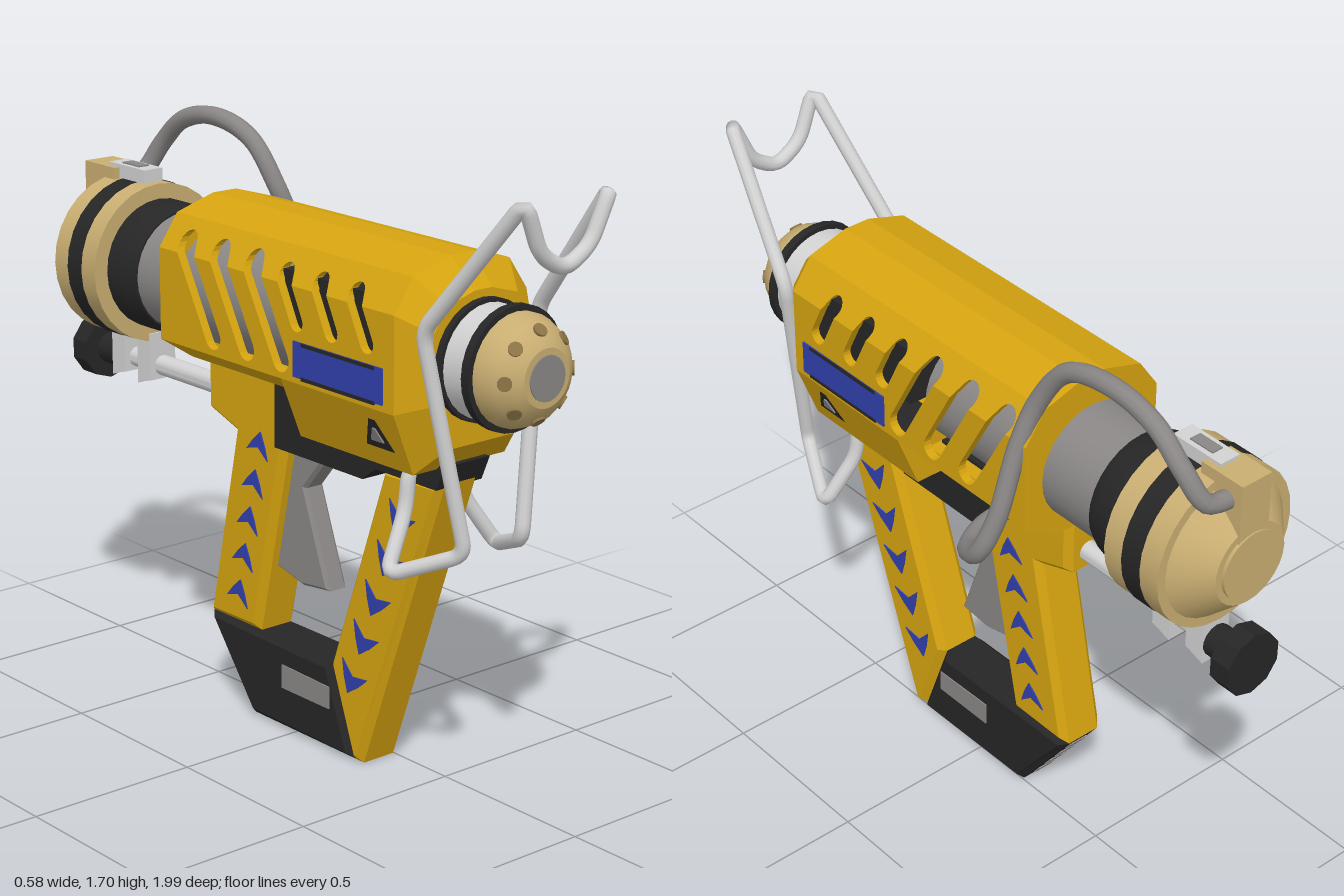
import * as THREE from 'three';
import { toCreasedNormals } from 'three/addons/utils/BufferGeometryUtils.js';

const V = (x, y, z) => new THREE.Vector3(x, y, z);
const AXIS_Y = 1.225;

export function createModel() {
  const mat = (name, color, side = THREE.FrontSide) =>
    Object.assign(new THREE.MeshStandardMaterial({ color, side }), { name });
  const yellow = mat('yellow paint', 0xd6a410, THREE.DoubleSide);
  const black = mat('black rubber', 0x262626);
  const tan = mat('tan metal', 0xc9ae72);
  const darkTan = mat('dark tan', 0x8c7546);
  const grey = mat('grey metal', 0x8a8786);
  const light = mat('light metal', 0xd2d2d2);
  const blue = mat('blue paint', 0x3140ae);

  const model = new THREE.Group();
  const gun = new THREE.Group();
  gun.name = 'tool';
  gun.position.x = -0.057;
  model.add(gun);

  const add = (name, geo, material, x = 0, y = 0, z = 0) => {
    const m = new THREE.Mesh(geo, material);
    m.name = name;
    m.position.set(x, y, z);
    gun.add(m);
    return m;
  };
  const shapeOf = pts => new THREE.Shape(pts.map(p => new THREE.Vector2(p[0], p[1])));

  // Side outline [z, y] extruded across x
  const slabGeo = (pts, w, bevel = 0) => {
    const g = new THREE.ExtrudeGeometry(shapeOf(pts), {
      depth: w - 2 * bevel, bevelEnabled: bevel > 0, bevelSize: bevel,
      bevelThickness: bevel, bevelOffset: -bevel, bevelSegments: 1,
    });
    return g.translate(0, 0, -w / 2 + bevel).rotateY(-Math.PI / 2);
  };
  const slab = (name, pts, w, material, bevel) => add(name, slabGeo(pts, w, bevel), material);
  // Thin painted plate on both sides
  const decal = (name, pts, half, material, t = 0.008) => {
    for (const s of [-1, 1]) add(name, slabGeo(pts, t), material, s * half);
  };
  // Profile [radius, z] turned around the barrel axis
  const turn = (name, pts, material, y = AXIS_Y, seg = 28) => {
    const g = new THREE.LatheGeometry(pts.map(p => new THREE.Vector2(p[0], p[1])), seg).rotateX(Math.PI / 2);
    return add(name, toCreasedNormals(g, 0.5), material, 0, y, 0);
  };
  const drum = (name, r, z0, z1, material, y, seg) =>
    turn(name, [[0, z0], [r, z0], [r, z1], [0, z1]], material, y, seg);
  // Strip of flat panels between two cross-sections
  const strip = (name, a, za, b, zb) => {
    const pos = [];
    for (let i = 0; i < a.length - 1; i++) {
      const [p, q, r, s] = [[...a[i], za], [...a[i + 1], za], [...b[i + 1], zb], [...b[i], zb]];
      pos.push(...p, ...q, ...r, ...p, ...r, ...s);
    }
    const g = new THREE.BufferGeometry();
    g.setAttribute('position', new THREE.Float32BufferAttribute(pos, 3));
    g.computeVertexNormals();
    return add(name, g, yellow);
  };

  // Body cross-section
  const mirror = half => [...half, ...half.slice().reverse().map(([x, y]) => [-x, y])];
  const roof = mirror([[0.165, 1.45], [0.04, 1.487]]);
  const belly = mirror([[0.228, 1.1], [0.16, 0.928]]);
  const rearBelly = mirror([[0.228, 1.1], [0.12, 1.03]]);
  const ring = mirror([[0.04, 1.487], [0.165, 1.45], [0.228, 1.36], [0.228, 1.1], [0.16, 0.928]]);
  const rearRing = mirror([[0.04, 1.487], [0.165, 1.45], [0.228, 1.36], [0.228, 1.1], [0.12, 1.03]]);
  const noseRing = ring.map(([x, y]) => [x * 0.73, 1.205 + (y - 1.205) * 0.72]);
  const ZB = -0.375, ZF = 0.6, ZS = 0.15, FOLD = 1.36;
  strip('bodyRoof', roof, ZB, roof, ZF);
  strip('bodyBelly', belly, ZS, belly, ZF);
  strip('bodyRearBelly', rearBelly, ZB, rearBelly, ZS);
  strip('bodyNose', [...ring, ring[0]], ZF, [...noseRing, noseRing[0]], 0.68);
  add('bodyFrontFace', new THREE.ShapeGeometry(shapeOf(noseRing)), yellow, 0, 0, 0.68);
  add('bodyRearFace', new THREE.ShapeGeometry(shapeOf(rearRing)).rotateY(Math.PI), yellow, 0, 0, ZB);
  add('bodyStep', new THREE.ShapeGeometry(shapeOf(belly)).rotateY(Math.PI), yellow, 0, 0, ZS);

  // Body sides with slanted slots that run over the upper fold
  const slots = [];
  for (let i = 0; i < 3; i++) slots.push({ a: [0.495 - i * 0.14, 1.265], b: [0.435 - i * 0.14, 1.385], r: 0.026 });
  for (let i = 0; i < 3; i++) slots.push({ a: [0.15 - i * 0.145, 1.15], b: [0.018 - i * 0.145, 1.388], r: 0.033 });
  const notched = top => slots.flatMap(({ a, b, r }) => {
    const u = new THREE.Vector2(b[0] - a[0], b[1] - a[1]).normalize();
    const c = top ? b : a, k = top ? 1 : -1, pts = [];
    for (let i = 0; i <= 8; i++) {
      const t = i * Math.PI / 8, n = r * Math.cos(t), m = k * r * Math.sin(t);
      pts.push([c[0] + n * u.y + m * u.x, c[1] - n * u.x + m * u.y]);
    }
    const cut = s => [a[0] + (FOLD - a[1]) * u.x / u.y + s * r / u.y, FOLD];
    return [cut(1), ...pts, cut(-1)];
  });
  const wall = [[ZB, 1.1], [ZF, 1.1], [ZF, FOLD], ...notched(false), [ZB, FOLD]];
  const shoulder = [[ZB, 1.45], [ZF, 1.45], [ZF, FOLD], ...notched(true), [ZB, FOLD]];
  for (const side of [-1, 1]) {
    for (const [name, pts] of [['bodySide', wall], ['bodyShoulder', shoulder]]) {
      const g = new THREE.ExtrudeGeometry(shapeOf(pts), { depth: 0.025, bevelEnabled: false });
      const p = g.attributes.position;
      for (let i = 0; i < p.count; i++) {
        const z = p.getX(i), y = p.getY(i), d = p.getZ(i);
        p.setXYZ(i, side * (0.228 - Math.max(0, y - FOLD) * 0.7 - d), y, z);
      }
      g.computeVertexNormals();
      add(name, g, yellow);
    }
  }
  add('slotLiner', new THREE.BoxGeometry(0.4, 0.17, 0.42), black, 0, 1.305, 0.335);

  // Side badge and warning triangle
  decal('badge', [[0.205, 1.118], [0.56, 1.118], [0.56, 1.215], [0.205, 1.215]], 0.229, blue);
  for (const y of [1.118, 1.21])
    decal('badgeEdge', [[0.24, y - 0.005], [0.53, y - 0.005], [0.53, y + 0.005], [0.24, y + 0.005]], 0.23, black);
  for (const s of [-1, 1]) {
    const tri = k => [[-0.055 * k, -0.045 * k], [0.055 * k, -0.045 * k], [0.012 * k, 0.045 * k], [-0.012 * k, 0.045 * k]];
    [[1, black, 0], [0.45, grey, 0.003]].forEach(([k, m, o]) => {
      add('warningTriangle', slabGeo(tri(k), 0.008), m, s * (0.195 + o), 1.025 - o, 0.5).rotation.z = -s * 0.376;
    });
  }

  // Barrel and front nozzle
  drum('barrel', 0.17, -0.57, 0.1, grey);
  drum('nozzleSeal', 0.163, 0.67, 0.7, black);
  drum('nozzleSleeve', 0.152, 0.7, 0.785, light);
  drum('nozzleRing', 0.166, 0.78, 0.805, black);
  turn('nozzleTip', [[0.15, 0.8], [0.15, 0.825], [0.132, 0.87], [0.1, 0.903], [0.078, 0.915], [0, 0.915]], tan);
  drum('nozzleCore', 0.06, 0.91, 0.919, grey);
  for (let i = 0; i < 8; i++) {
    const a = i * Math.PI / 4, n = V(0.72 * Math.cos(a), 0.72 * Math.sin(a), 0.69);
    const hole = add('nozzleHole', new THREE.CylinderGeometry(0.019, 0.019, 0.01, 12), darkTan,
      0.117 * Math.cos(a), AXIS_Y + 0.117 * Math.sin(a), 0.886);
    hole.quaternion.setFromUnitVectors(V(0, 1, 0), n.normalize());
  }

  // Rear canister
  turn('collar', [[0, -0.69], [0.188, -0.69], [0.188, -0.59], [0.175, -0.56], [0, -0.56]], black);
  turn('canister', [[0, -0.965], [0.12, -0.965], [0.205, -0.875], [0.232, -0.875], [0.232, -0.68], [0, -0.68]], tan);
  drum('canisterBand', 0.234, -0.81, -0.745, black);
  drum('capDisc', 0.1, -0.975, -0.9, tan);
  add('capNeck', new THREE.BoxGeometry(0.1, 0.265, 0.145), tan, 0, 1.353, -0.898);
  add('topClip', new THREE.BoxGeometry(0.065, 0.04, 0.17), light, 0, 1.475, -0.79);
  add('topClipInset', new THREE.BoxGeometry(0.035, 0.008, 0.08), grey, 0, 1.495, -0.79);

  // Rod with knob and clips below the canister
  drum('rod', 0.03, -0.9, -0.3, light, 0.92, 14);
  drum('knobStem', 0.047, -0.94, -0.865, black, 0.92, 14);
  drum('knob', 0.093, -1, -0.935, black, 0.92, 10);
  for (const z of [-0.675, -0.8])
    slab('rodClip', [[z, 1.02], [z - 0.063, 1.02], [z - 0.063, 0.86], [z - 0.02, 0.875], [z, 0.88]], 0.09, light);

  // Trigger housing, handles and base
  slab('triggerHousing', [[0.63, 0.94], [0.6, 0.87], [0.36, 0.87], [0.31, 0.83], [-0.06, 0.83], [-0.06, 1.04], [0.14, 1.04], [0.16, 0.94]], 0.16, black);
  slab('rearHandle', [[-0.05, 1.04], [-0.374, 1.04], [-0.374, 0.87], [-0.255, 0.83], [-0.375, 0.26], [-0.155, 0.26], [-0.03, 0.83]], 0.145, yellow, 0.02);
  slab('frontHandle', [[0.605, 0.88], [0.38, 0.88], [0.16, 0.26], [0.255, 0], [0.29, 0]], 0.145, yellow, 0.02);
  slab('base', [[0.16, 0.26], [-0.375, 0.26], [-0.185, 0], [0.255, 0]], 0.145, black, 0.02);
  slab('trigger', [[0.1, 0.85], [0.1, 0.82], [0.015, 0.72], [0.115, 0.445], [0, 0.432], [-0.115, 0.46], [-0.03, 0.85]], 0.07, grey, 0.01);
  decal('baseLabel', [[-0.04, 0.125], [0.165, 0.125], [0.165, 0.19], [-0.04, 0.195]], 0.072, grey);

  // Blue arrowheads along both handles
  const arrow = (cz, cy, dz, dy, k = 1) => {
    const l = Math.hypot(dz, dy);
    return [[0, 0.045], [-0.03, 0.005], [-0.055, -0.04], [0, -0.012], [0.055, -0.04], [0.03, 0.005]].map(([p, q]) =>
      [cz + k * (p * dy + q * dz) / l, cy + k * (q * dy - p * dz) / l]);
  };
  for (let i = 0; i < 5; i++) {
    const t = i / 4;
    decal('frontArrow', arrow(0.45 - 0.19 * t, 0.745 - 0.505 * t, -0.19, -0.505), 0.072, blue);
    decal('rearArrow', arrow(-0.138 - 0.095 * t, 0.82 - 0.46 * t, 0.1, 0.46, 0.85), 0.072, blue);
  }
  // Grip marks under and behind the base
  const mark = new THREE.BoxGeometry(0.06, 0.008, 0.035);
  for (let i = 0; i < 5; i++) add('baseMark', mark, grey, 0, 0.003, 0.2 - i * 0.08);
  for (let i = 0; i < 4; i++) {
    const t = 0.15 + i * 0.23;
    add('baseMark', mark, grey, 0, 0.26 * t, -0.185 - 0.19 * t).rotation.x = Math.atan2(0.26, 0.19);
  }

  // Bent wire guard with rounded corners
  const half = [[0.085, 1.56, 0.967], [0.145, 1.7, 0.975], [0.2, 1.33, 0.675], [0.1, 0.735, 0.735],
    [0.195, 0.65, 0.54], [0.1, 0.8, 0.505], [0.09, 0.905, 0.505], [0.03, 0.91, 0.505]].map(p => V(...p));
  const pts = [...half.slice().reverse().map(p => V(-p.x, p.y, p.z)), V(0, 1.51, 0.965), ...half];
  const path = new THREE.CurvePath();
  let from = pts[0];
  for (let i = 1; i < pts.length - 1; i++) {
    const p = pts[i], inDir = pts[i - 1].clone().sub(p), outDir = pts[i + 1].clone().sub(p);
    const start = p.clone().addScaledVector(inDir, Math.min(0.4, 0.04 / inDir.length()));
    const end = p.clone().addScaledVector(outDir, Math.min(0.4, 0.04 / outDir.length()));
    path.add(new THREE.LineCurve3(from, start));
    path.add(new THREE.QuadraticBezierCurve3(start, p, end));
    from = end;
  }
  path.add(new THREE.LineCurve3(from, pts[pts.length - 1]));
  add('wireGuard', new THREE.TubeGeometry(path, 260, 0.021, 10), light);

  // Hose from the canister cap to the grip
  const hose = new THREE.CatmullRomCurve3([[-0.03, 1.42, -0.92], [0.06, 1.44, -0.915], [0.097, 1.53, -0.865],
    [0.1, 1.61, -0.77], [0.1, 1.642, -0.62], [0.1, 1.6, -0.45], [0.12, 1.48, -0.365], [0.165, 1.35, -0.34],
    [0.235, 1.14, -0.335], [0.267, 1.03, -0.3], [0.22, 0.965, -0.2], [0.1, 0.945, -0.13], [-0.02, 0.945, -0.12]]
    .map(([x, y, z]) => V(x + 0.057, y, z)));
  add('hose', new THREE.TubeGeometry(hose, 90, 0.027, 10), grey);

  return model;
}
